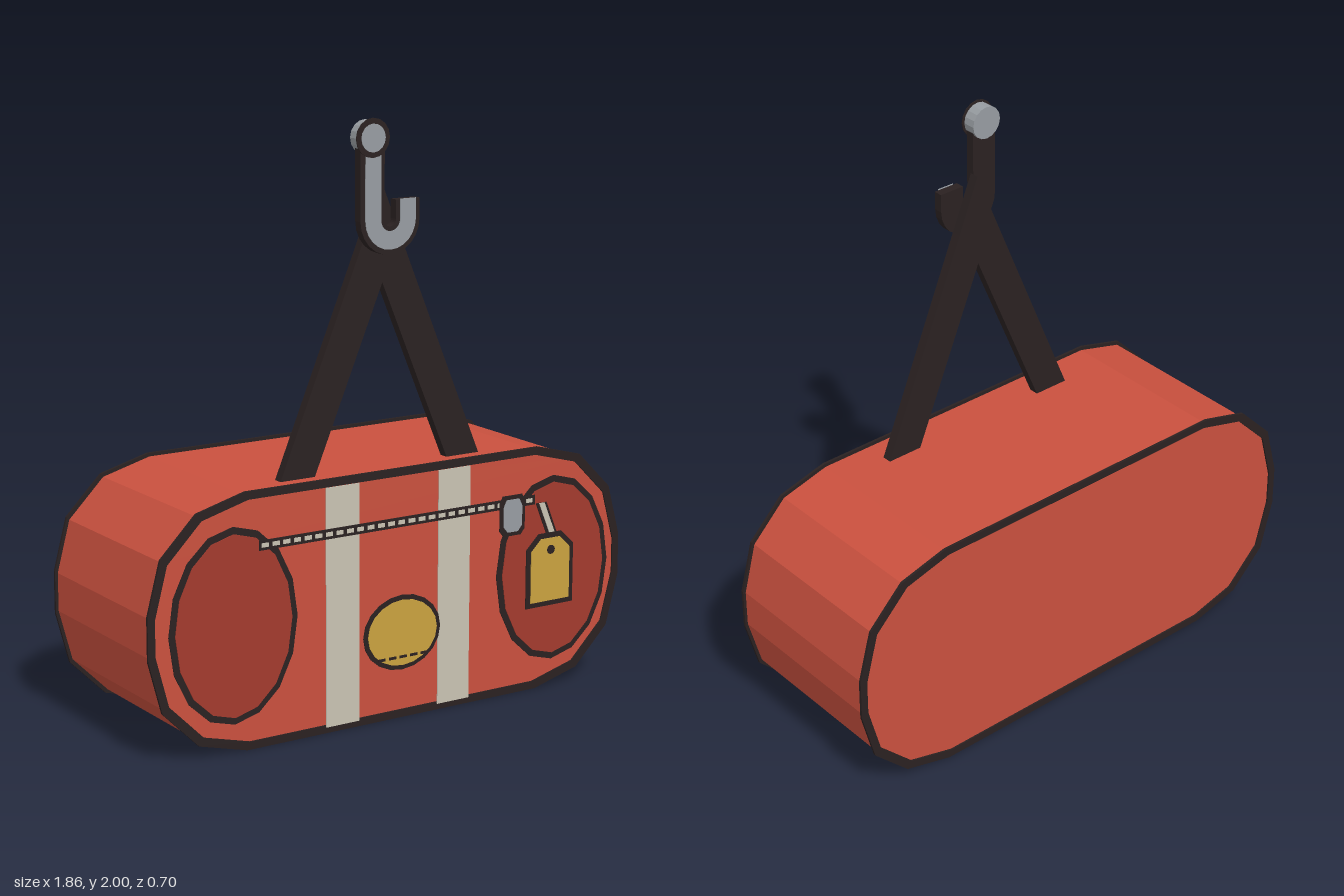
import * as THREE from 'three';

const mat = (name, color) => new THREE.MeshStandardMaterial({ name, color, flatShading: true });

export function createModel() {
  const red = mat('canvasRed', 0xc9503e);
  const darkRed = mat('pocketRed', 0xa33a2d);
  const dark = mat('darkTrim', 0x2a2121);
  const beige = mat('stripeBeige', 0xc8c2b2);
  const gold = mat('gold', 0xc9a13f);
  const metal = mat('metal', 0x979ca1);

  const model = new THREE.Group();
  model.name = 'hangingDuffelBag';

  const poly = (pts) => new THREE.Shape(pts.map(([x, y]) => new THREE.Vector2(x, y)));

  // Points of a rounded rectangle around (cx, cy)
  function roundRect(cx, cy, hw, hh, r, steps = 3) {
    const pts = [];
    [[1, 1], [-1, 1], [-1, -1], [1, -1]].forEach(([sx, sy], k) => {
      for (let i = 0; i <= steps; i++) {
        const a = (k + i / steps) * Math.PI / 2;
        pts.push([cx + sx * (hw - r) + r * Math.cos(a), cy + sy * (hh - r) + r * Math.sin(a)]);
      }
    });
    return pts;
  }

  function ellipse(cx, cy, rx, ry, n = 16) {
    return Array.from({ length: n }, (_, i) => {
      const a = i / n * Math.PI * 2;
      return [cx + rx * Math.cos(a), cy + ry * Math.sin(a)];
    });
  }

  const rect = (x0, x1, y0, y1) => [[x0, y0], [x1, y0], [x1, y1], [x0, y1]];

  // Extruded outline whose back lies at z, with an optional hole
  function plate(name, pts, z, material, depth = 0.003, hole) {
    const shape = poly(pts);
    if (hole) shape.holes.push(new THREE.Path(poly(hole).getPoints()));
    const geo = new THREE.ExtrudeGeometry(shape, { depth, bevelEnabled: false });
    const mesh = new THREE.Mesh(geo, material);
    mesh.name = name;
    mesh.position.z = z;
    model.add(mesh);
    return mesh;
  }

  // Bag body with dark piping on both ends
  plate('bagBody', roundRect(0, 0.432, 0.92, 0.415, 0.35), -0.343, red, 0.632);
  for (const [name, z] of [['frontPiping', 0.285], ['backPiping', -0.349]]) {
    plate(name, roundRect(0, 0.432, 0.93, 0.427, 0.355), z, dark, 0.009,
      roundRect(0, 0.432, 0.904, 0.4, 0.34));
  }

  // Stripes and oval end pockets
  for (const s of [-1, 1]) {
    plate('stripe', rect(s * 0.22 - 0.064, s * 0.22 + 0.064, 0.03, 0.835), 0.306, beige);
    plate('pocketTrim', ellipse(s * 0.63, 0.432, 0.236, 0.325), 0.308, dark);
    plate('pocket', ellipse(s * 0.63, 0.432, 0.214, 0.302), 0.312, darkRed);
  }

  // Zipper with its teeth
  plate('zipperTape', rect(-0.54, 0.545, 0.668, 0.701), 0.317, dark);
  for (let i = 0; i < 27; i++) {
    const x = -0.52 + i * 0.04;
    plate('zipperTooth', rect(x - 0.013, x + 0.013, 0.678, 0.692), 0.321, beige, 0.002);
  }

  // Zipper slider
  const slider = (m) => [
    [0.41 + m, 0.575 + m], [0.48 - m, 0.575 + m], [0.497 - m, 0.595 + m], [0.497 - m, 0.69 - m],
    [0.485 - m, 0.715 - m], [0.405 + m, 0.715 - m], [0.393 + m, 0.69 - m], [0.393 + m, 0.595 + m],
  ];
  plate('sliderTrim', slider(0), 0.325, dark);
  plate('slider', slider(0.014), 0.329, metal);

  // Tag on a short cord
  const cord = (w) => [[0.605 - w, 0.565], [0.605 + w, 0.565], [0.56 + w, 0.675], [0.56 - w, 0.675]];
  plate('cordTrim', cord(0.022), 0.333, dark);
  plate('cord', cord(0.011), 0.337, beige);
  const tag = (m) => [
    [0.495 + m, 0.312 + m], [0.693 - m, 0.312 + m], [0.693 - m, 0.518 - m * 0.5],
    [0.642 - m * 0.5, 0.568 - m], [0.546 + m * 0.5, 0.568 - m], [0.495 + m, 0.518 - m * 0.5],
  ];
  plate('tagTrim', tag(0), 0.34, dark);
  plate('tag', tag(0.018), 0.344, gold);
  plate('tagHole', ellipse(0.594, 0.51, 0.016, 0.016, 10), 0.348, dark, 0.002);

  // Oval badge with a row of stitches
  plate('badgeTrim', ellipse(0, 0.312, 0.152, 0.128, 20), 0.325, dark);
  plate('badge', ellipse(0, 0.312, 0.136, 0.112, 20), 0.329, gold);
  for (let i = -2; i <= 2; i++) {
    plate('badgeStitch', rect(i * 0.042 - 0.014, i * 0.042 + 0.014, 0.226, 0.235), 0.333, dark, 0.002);
  }

  // Carrying strap, pulled to a peak
  plate('strap', [[-0.395, 0.835], [-0.265, 0.835], [0, 1.46], [0.265, 0.835],
    [0.395, 0.835], [0.078, 1.59], [0, 1.78], [-0.078, 1.59]], 0.17, dark, 0.034);

  // Hook: straight shank, half-round bowl and short tip
  function hookShape(rOut, rIn, tip) {
    const pts = [[-rIn, 1.92], [-rOut, 1.92]];
    for (let i = 0; i <= 12; i++) {
      const a = Math.PI * (1 + i / 12);
      pts.push([rOut * Math.cos(a), 1.67 + rOut * Math.sin(a)]);
    }
    pts.push([rOut, tip], [rIn, tip]);
    for (let i = 12; i >= 0; i--) {
      const a = Math.PI * (1 + i / 12);
      pts.push([rIn * Math.cos(a), 1.67 + rIn * Math.sin(a)]);
    }
    return pts;
  }
  plate('hook', hookShape(0.114, 0.022, 1.733), 0.218, dark, 0.031);
  plate('hookFace', hookShape(0.097, 0.037, 1.735), 0.25, metal);

  // Pin at the head of the hook
  plate('pin', ellipse(-0.07, 1.936, 0.056, 0.056), 0.206, metal, 0.045);
  plate('pinTrim', ellipse(-0.07, 1.936, 0.064, 0.064), 0.252, dark, 0.003);
  plate('pinFace', ellipse(-0.07, 1.936, 0.046, 0.046), 0.256, metal, 0.002);

  return model;
}
